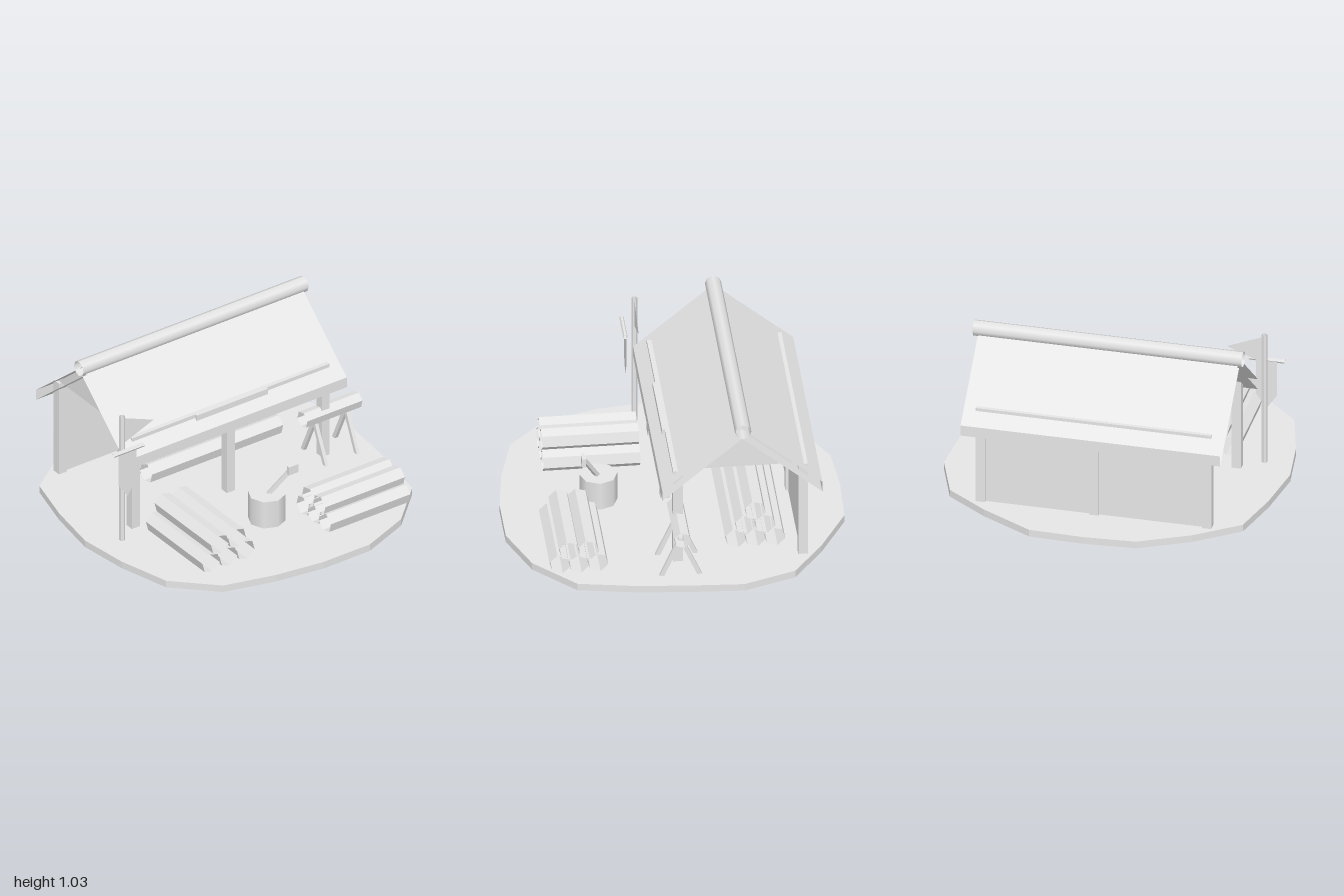
import * as THREE from 'three';

export function createModel() {
  const group = new THREE.Group();
  const flat = new THREE.MeshStandardMaterial({ color: 0xe6e6e6 });
  flat.name = 'pale grey';
  flat.side = THREE.DoubleSide;

  const add = (name, geo, x = 0, y = 0, z = 0) => {
    const mesh = new THREE.Mesh(geo, flat);
    mesh.name = name;
    mesh.position.set(x, y, z);
    group.add(mesh);
    return mesh;
  };
  const faceted = (geo) => {
    const g = geo.index ? geo.toNonIndexed() : geo;
    g.computeVertexNormals();
    return g;
  };
  const box = (name, w, h, d, x, y, z) => add(name, new THREE.BoxGeometry(w, h, d), x, y, z);
  const polygon = (pts) => new THREE.Shape(pts.map(([x, y]) => new THREE.Vector2(x, y)));
  // Closed band of quads between two loops of points
  const band = (loopA, loopB) => {
    const pos = [];
    loopA.forEach((a, i) => {
      const j = (i + 1) % loopA.length;
      pos.push(...a, ...loopB[i], ...loopB[j], ...a, ...loopB[j], ...loopA[j]);
    });
    const g = new THREE.BufferGeometry();
    g.setAttribute('position', new THREE.Float32BufferAttribute(pos, 3));
    g.computeVertexNormals();
    return g;
  };
  // Open-ended hexagonal log lying along x or z
  const log = (name, axis, r, length, x, y, z) => {
    const g = faceted(new THREE.CylinderGeometry(r, r, length, 6, 1, true, Math.PI / 12));
    if (axis === 'x') g.rotateZ(Math.PI / 2);
    else g.rotateX(Math.PI / 2);
    return add(name, g, x, y, z);
  };
  // Thin stick between two points
  const stick = (name, a, b, w, h) => {
    const from = new THREE.Vector3(...a), to = new THREE.Vector3(...b);
    const mesh = add(name, new THREE.BoxGeometry(w, h, from.distanceTo(to)));
    mesh.position.copy(from).lerp(to, 0.5);
    mesh.lookAt(to);
    return mesh;
  };

  // Irregular ground (x, z outline): a top face with a rim, open underneath
  const outline = [
    [0, -1], [0.33, -0.99], [0.64, -0.82], [0.89, -0.64], [1, -0.33],
    [0.98, 0], [0.95, 0.31], [0.89, 0.64], [0.64, 0.88], [0.33, 1],
    [0, 1], [-0.31, 0.955], [-0.63, 0.87], [-0.87, 0.635], [-0.96, 0.31],
    [-1, 0], [-0.95, -0.33], [-0.87, -0.64], [-0.61, -0.83], [-0.31, -0.98],
  ];
  const top = new THREE.ShapeGeometry(polygon(outline.map(([x, z]) => [x, -z])));
  add('groundTop', top.rotateX(-Math.PI / 2), 0, 0.045, 0);
  add('groundRim', band(outline.map(([x, z]) => [x, 0, z]), outline.map(([x, z]) => [x, 0.045, z])));

  // Shed frame: posts, beams, rear wall, gables
  const cx = 0.005, frontZ = 0.03, backZ = -0.705;
  for (const z of [frontZ, backZ]) {
    for (const x of [-0.68, 0, 0.68]) box('post', 0.056, 0.625, 0.056, cx + x, 0.3575, z);
    box('eaveBeam', 1.415, 0.055, 0.056, cx, 0.6425, z);
  }
  box('signBoard', 0.51, 0.055, 0.045, cx, 0.6425, 0.051);
  box('rearWall', 1.36, 0.62, 0.025, cx, 0.355, backZ);
  for (const s of [-1, 1]) {
    const gable = new THREE.ShapeGeometry(polygon([[-0.026, 0.67], [0.706, 0.67], [0.34, 0.98]]));
    add('gable', gable.rotateY(Math.PI / 2), cx + s * 0.69);
  }

  // Roof: chevron section swept along x, open at both ends
  const section = [[0.13, 0.585], [-0.34, 0.985], [-0.81, 0.585],
    [-0.81, 0.518], [-0.34, 0.918], [0.13, 0.518]];
  add('roof', band(section.map(([z, y]) => [-0.775, y, z]), section.map(([z, y]) => [0.785, y, z])));
  const ridge = new THREE.CylinderGeometry(0.048, 0.048, 1.615, 8, 1, true);
  add('ridgeLog', ridge.rotateZ(Math.PI / 2), 0.007, 0.981, -0.342);

  // Log piles: each row holds one log fewer than the row below
  const pile = (name, axis, r, length, rows, spacing, rise, x, z) => {
    for (let row = 0; row < rows; row++) {
      for (let i = 0; i < 3 - row; i++) {
        const off = (i - (2 - row) / 2) * spacing;
        const y = 0.107 + row * rise;
        if (axis === 'x') log(name, axis, r, length, x, y, z + off);
        else log(name, axis, r, length, x + off, y, z);
      }
    }
  };
  pile('leftPileLog', 'z', 0.0655, 0.57, 2, 0.124, 0.106, -0.476, 0.425);
  pile('rightPileLog', 'x', 0.064, 0.57, 2, 0.111, 0.089, 0.485, 0.618);
  pile('shelteredPileLog', 'x', 0.064, 0.94, 3, 0.115, 0.093, 0.135, -0.435);

  // Chopping block with axe
  add('choppingBlock', new THREE.CylinderGeometry(0.112, 0.112, 0.18, 8), 0.005, 0.135, 0.42);
  stick('axeHandle', [0.01, 0.215, 0.425], [0.115, 0.4, 0.517], 0.024, 0.024);
  box('axeHead', 0.066, 0.055, 0.022, 0.118, 0.397, 0.521);

  // Sawhorse with a log on top; the feet sink just through the ground
  log('sawhorseLog', 'x', 0.052, 0.395, 0.737, 0.33, 0.027);
  for (const x of [0.625, 0.85]) {
    for (const s of [-1, 1]) {
      stick('sawhorseLeg', [x, 0.295, 0.03], [x, 0.035, 0.03 + s * 0.115], 0.022, 0.026);
    }
  }

  // Flagpole, crossbar, hanging banner and pennant
  const pole = faceted(new THREE.CylinderGeometry(0.018, 0.018, 0.85, 6, 1, true));
  add('flagpole', pole, -0.817, 0.47, 0.118);
  const bar = faceted(new THREE.CylinderGeometry(0.013, 0.013, 0.215, 6, 1, true));
  add('crossbar', bar.rotateZ(Math.PI / 2), -0.817, 0.695, 0.182);
  add('banner', new THREE.ShapeGeometry(polygon(
    [[-0.88, 0.69], [-0.88, 0.465], [-0.817, 0.375], [-0.752, 0.465], [-0.752, 0.69]])), 0, 0, 0.172);
  add('pennant', new THREE.ShapeGeometry(polygon(
    [[-0.805, 0.878], [-0.805, 0.705], [-0.592, 0.79]])), 0, 0, 0.118);

  return group;
}
